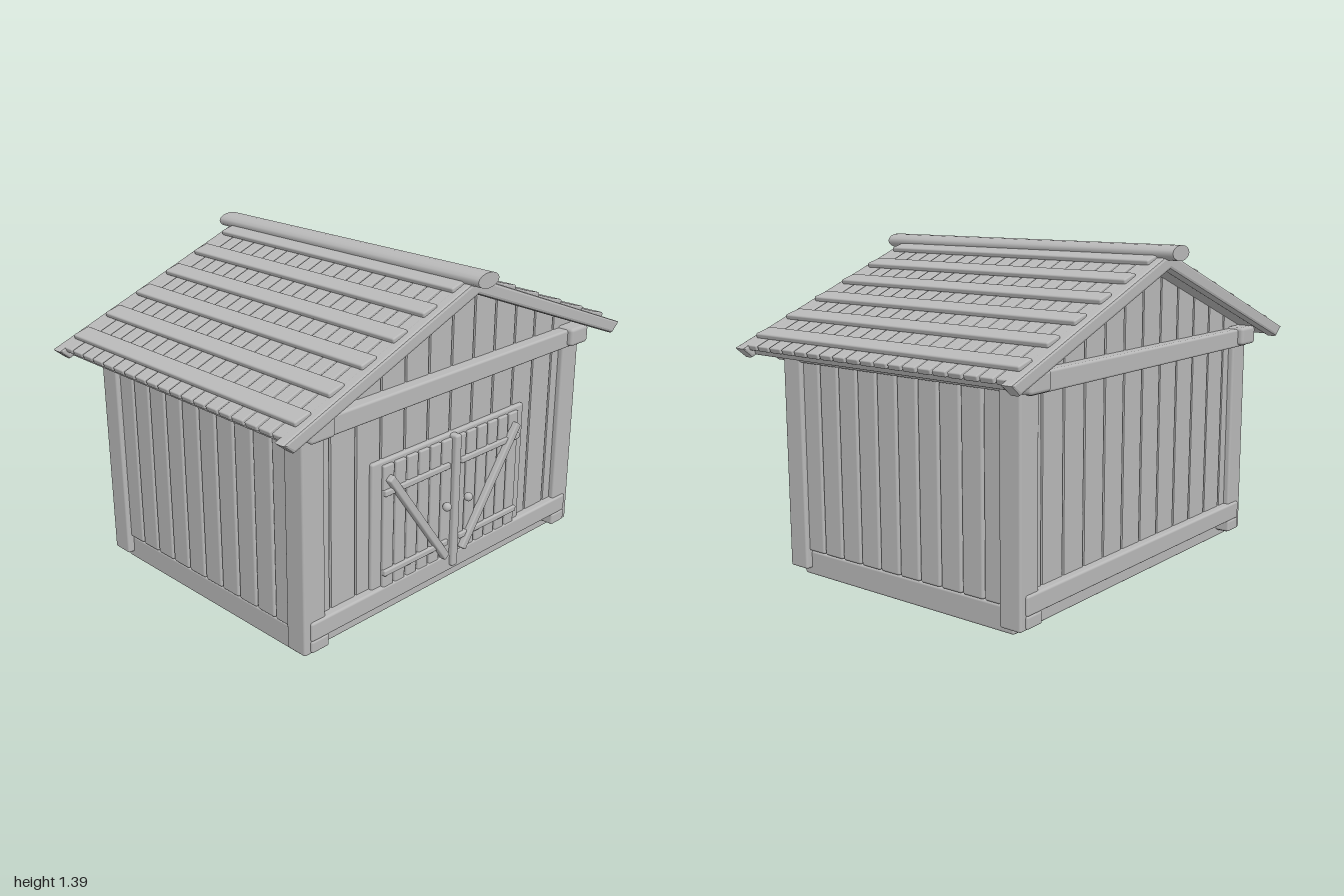
import * as THREE from 'three';
import { RoundedBoxGeometry } from 'three/addons/geometries/RoundedBoxGeometry.js';

const RISE = 0.387; // roof drop per unit of x
const ANGLE = Math.atan(RISE);

export function createModel() {
  const barn = new THREE.Group();
  barn.name = 'barn';
  const wood = new THREE.MeshStandardMaterial({ color: 0xb8b8b8 });
  wood.name = 'grey wood';

  const add = (parent, name, geometry) => {
    const mesh = new THREE.Mesh(geometry, wood);
    mesh.name = name;
    parent.add(mesh);
    return mesh;
  };
  const group = (parent, name) => {
    const g = new THREE.Group();
    g.name = name;
    parent.add(g);
    return g;
  };
  // Rounded beam given by its limits on each axis
  const beam = (parent, name, x0, x1, y0, y1, z0, z1, r = 0.01) => {
    const mesh = add(parent, name, new RoundedBoxGeometry(x1 - x0, y1 - y0, z1 - z0, 2, r));
    mesh.position.set((x0 + x1) / 2, (y0 + y1) / 2, (z0 + z1) / 2);
    return mesh;
  };
  // Extruded outline with softened edges, kept inside its outline
  const board = (parent, name, points, z0, z1, b = 0.006) => {
    const shape = new THREE.Shape(points.map(([x, y]) => new THREE.Vector2(x, y)));
    const mesh = add(parent, name, new THREE.ExtrudeGeometry(shape, {
      depth: z1 - z0 - 2 * b, bevelThickness: b, bevelSize: b, bevelOffset: -b, bevelSegments: 2,
    }));
    mesh.position.z = z0 + b;
    return mesh;
  };

  // Base and solid core behind the planks
  beam(barn, 'base', -0.8, 0.8, 0, 0.105, -0.565, 0.565);
  board(barn, 'wallCore', [[-0.78, 0.08], [0.78, 0.08], [0.78, 0.98], [0, 1.28], [-0.78, 0.98]], -0.565, 0.565);

  // Corner posts and long beams
  for (const sx of [-1, 1]) {
    for (const sz of [-1, 1]) {
      const post = beam(barn, 'cornerPost', -0.055, 0.055, 0.03, 0.93, -0.05, 0.05);
      post.position.x = sx * 0.775;
      post.position.z = sz * 0.57;
    }
    beam(barn, 'wallPlate', -0.06, 0.06, 0.908, 0.988, -0.67, 0.67, 0.015).position.x = sx * 0.77;
    beam(barn, 'sillBeam', -0.045, 0.045, 0.035, 0.088, -0.63, 0.63).position.x = sx * 0.755;
  }

  // Side wall planks
  const sides = group(barn, 'sideWalls');
  for (const sx of [-1, 1]) {
    for (let i = 0; i < 10; i++) {
      const plank = beam(sides, 'sidePlank', -0.02, 0.02, 0.108, 0.94, -0.0505, 0.0505);
      plank.position.x = sx * 0.79;
      plank.position.z = (i - 4.5) * 0.1075;
    }
  }

  // Gable walls: planks cut to the roof slope, cross beam and tie beam
  for (const sz of [-1, 1]) {
    const wall = group(barn, sz > 0 ? 'frontWall' : 'backWall');
    if (sz < 0) wall.rotation.y = Math.PI;
    for (let i = -6; i < 6; i++) {
      const x0 = i * 0.134 + 0.004, x1 = (i + 1) * 0.134 - 0.004;
      const top = (x) => 1.305 - RISE * Math.abs(x);
      board(wall, 'gablePlank', [[x0, 0.09], [x1, 0.09], [x1, top(x1)], [x0, top(x0)]], 0.55, 0.595);
    }
    beam(wall, 'crossBeam', -0.8, 0.8, 0.085, 0.165, 0.56, 0.63);
    beam(wall, 'tieBeam', -0.8, 0.8, 0.9, 0.98, 0.56, 0.645);
  }

  // Double door
  const door = group(barn, 'doubleDoor');
  beam(door, 'doorFrame', -0.465, 0.465, 0.12, 0.703, 0.58, 0.612);
  beam(door, 'centrePost', -0.018, 0.018, 0.108, 0.7, 0.6, 0.648);
  for (const s of [-1, 1]) {
    const leaf = group(door, s > 0 ? 'leftLeaf' : 'rightLeaf');
    for (let i = 0; i < 6; i++) {
      const x = s * (0.385 - i * 0.0685);
      beam(leaf, 'doorPlank', x - 0.029, x + 0.029, 0.15, 0.685, 0.6, 0.626, 0.006);
    }
    for (const y of [0.228, 0.573]) {
      const rail = beam(leaf, 'doorRail', -0.19, 0.19, y - 0.013, y + 0.013, 0.615, 0.638, 0.006);
      rail.position.x = s * 0.226;
    }
    const brace = beam(leaf, 'doorBrace', -0.29, 0.29, -0.017, 0.017, 0.62, 0.65, 0.007);
    brace.position.x = s * 0.222;
    brace.position.y = 0.402;
    brace.rotation.z = s * Math.atan2(0.465, 0.34);
    const knob = add(leaf, 'doorKnob', new THREE.SphereGeometry(0.019, 16, 12));
    knob.position.set(s * 0.067, 0.405, 0.65);
  }

  // Roof slopes: local x runs down the slope, local y points out of it
  for (const s of [-1, 1]) {
    const side = group(barn, s > 0 ? 'leftRoof' : 'rightRoof');
    if (s < 0) side.rotation.y = Math.PI;
    const slope = group(side, 'roofSlope');
    slope.position.y = 1.36;
    slope.rotation.z = -ANGLE;
    beam(slope, 'roofDeck', 0, 1.025, -0.055, -0.015, -0.665, 0.665);
    for (let i = 0; i < 19; i++) {
      const z = (i - 9) * 0.0725;
      beam(slope, 'roofPlank', 0, 1.04, -0.025, -0.001, z - 0.031, z + 0.031, 0.005);
    }
    for (let i = 0; i < 6; i++) {
      const batten = beam(slope, 'roofBatten', -0.04, 0.04, -0.011, 0.011, -0.682, 0.682, 0.007);
      batten.position.set((0.075 + i * 0.16) / Math.cos(ANGLE), 0.004, 0);
      batten.rotation.z = 0.1;
    }
  }

  // Bargeboards on both gables
  const half = [[0.95, 0.93], [1, 0.972], [0, 1.36]];
  const outline = [[0, 1.295], ...half, [-1, 0.972], [-0.95, 0.93]];
  for (const z of [-0.69, 0.69]) board(barn, 'bargeboard', outline, z - 0.027, z + 0.027, 0.012);

  // Ridge cap
  const ridge = add(barn, 'ridgeCap', new THREE.CylinderGeometry(0.062, 0.062, 1.52, 16));
  ridge.rotation.x = Math.PI / 2;
  ridge.scale.z = 0.5;
  ridge.position.y = 1.36;
  return barn;
}
